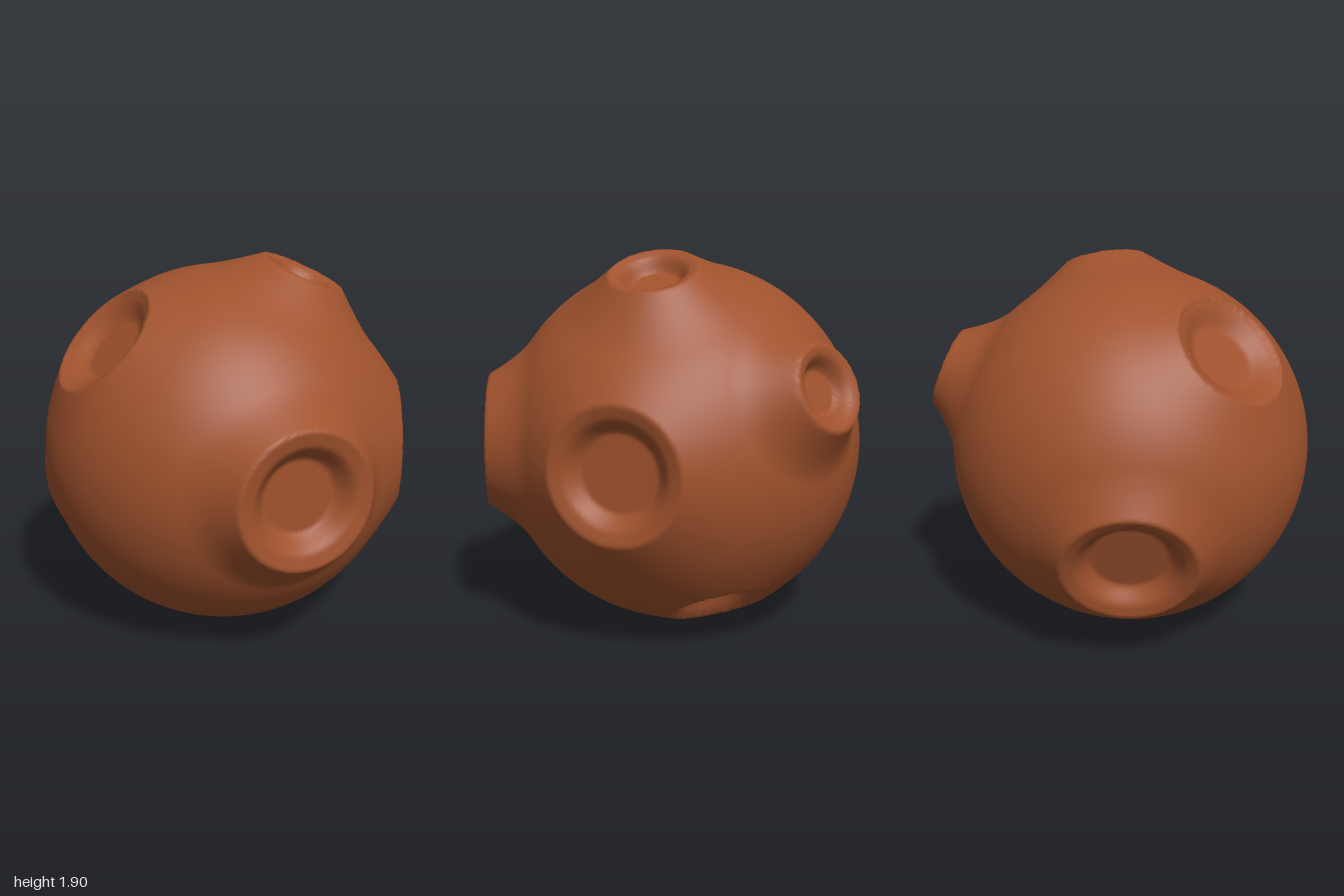
import * as THREE from 'three';
import { mergeVertices } from 'three/addons/utils/BufferGeometryUtils.js';

const CENTRE = new THREE.Vector3(0.02, 0.925, -0.03);
const RADIUS = 0.92;

// Each crater: centre of its rim plane, rim radius, floor depth,
// start of the inner wall (share of the rim radius), width of the outer slope
const craters = [
  { at: [0.92, 0.935, -0.04], r: 0.325, depth: 0.08, inner: 0.84, slope: 0.36 },
  { at: [-0.79, 0.59, -0.31], r: 0.325, depth: 0.09, inner: 0.85, slope: 0.25 },
  { at: [-0.55, 1.54, 0.28], r: 0.295, depth: 0.08, inner: 0.98, slope: 0.25 },
  { at: [0.38, 0.18, -0.37], r: 0.245, depth: 0.09, inner: 0.98, slope: 0.2 },
  { at: [0.43, 0.94, 0.86], r: 0.336, depth: 0.1, inner: 0.8, slope: 0.27 },
  { at: [0.42, 1.82, -0.04], r: 0.215, depth: 0.08, inner: 0.8, slope: 0.33 },
  { at: [0.43, 1.31, -0.9], r: 0.206, depth: 0.08, inner: 0.78, slope: 0.27 },
].map((c) => {
  const axis = new THREE.Vector3(...c.at).sub(CENTRE);
  const dist = axis.length();
  return { ...c, axis: axis.normalize(), dist, edge: Math.hypot(dist, c.r), angle: Math.atan2(c.r, dist) };
});

// Depth below the rim plane: gentle lip, steep wall, flat floor
function dip(c, u) {
  const lip = 0.015;
  if (u > c.inner) return lip * (1 - u) / (1 - c.inner);
  const wall = c.inner > 0.9 ? 0.4 : 0.22;
  return lip + (c.depth - lip) * (1 - THREE.MathUtils.smoothstep(u, c.inner - wall, c.inner));
}

// Distance of the surface from the centre along a direction
function surfaceRadius(dir) {
  let radius = RADIUS;
  for (const c of craters) {
    const cos = Math.min(1, dir.dot(c.axis));
    const angle = Math.acos(Math.max(-1, cos));
    if (angle < c.angle) {
      const u = c.dist * Math.tan(angle) / c.r;
      radius = (c.dist - dip(c, u)) / cos;
    } else {
      const s = Math.min(1, (angle - c.angle) / c.slope);
      radius = THREE.MathUtils.lerp(radius, c.edge, (1 - s) ** 2);
    }
  }
  return radius;
}

export function createModel() {
  const group = new THREE.Group();
  group.name = 'asteroid';

  // Evenly divided ball, welded so that the normals are smooth
  let geometry = new THREE.IcosahedronGeometry(1, 75);
  geometry.deleteAttribute('uv');
  geometry.deleteAttribute('normal');
  geometry = mergeVertices(geometry, 1e-4);

  // Push every vertex out to the cratered surface
  const position = geometry.attributes.position;
  const v = new THREE.Vector3();
  for (let i = 0; i < position.count; i++) {
    v.fromBufferAttribute(position, i).normalize();
    v.multiplyScalar(surfaceRadius(v)).add(CENTRE);
    position.setXYZ(i, v.x, v.y, v.z);
  }
  geometry.computeVertexNormals();

  const rock = new THREE.Mesh(geometry, new THREE.MeshStandardMaterial({ color: 0xa0522d }));
  rock.name = 'crateredRock';
  group.add(rock);
  return group;
}
